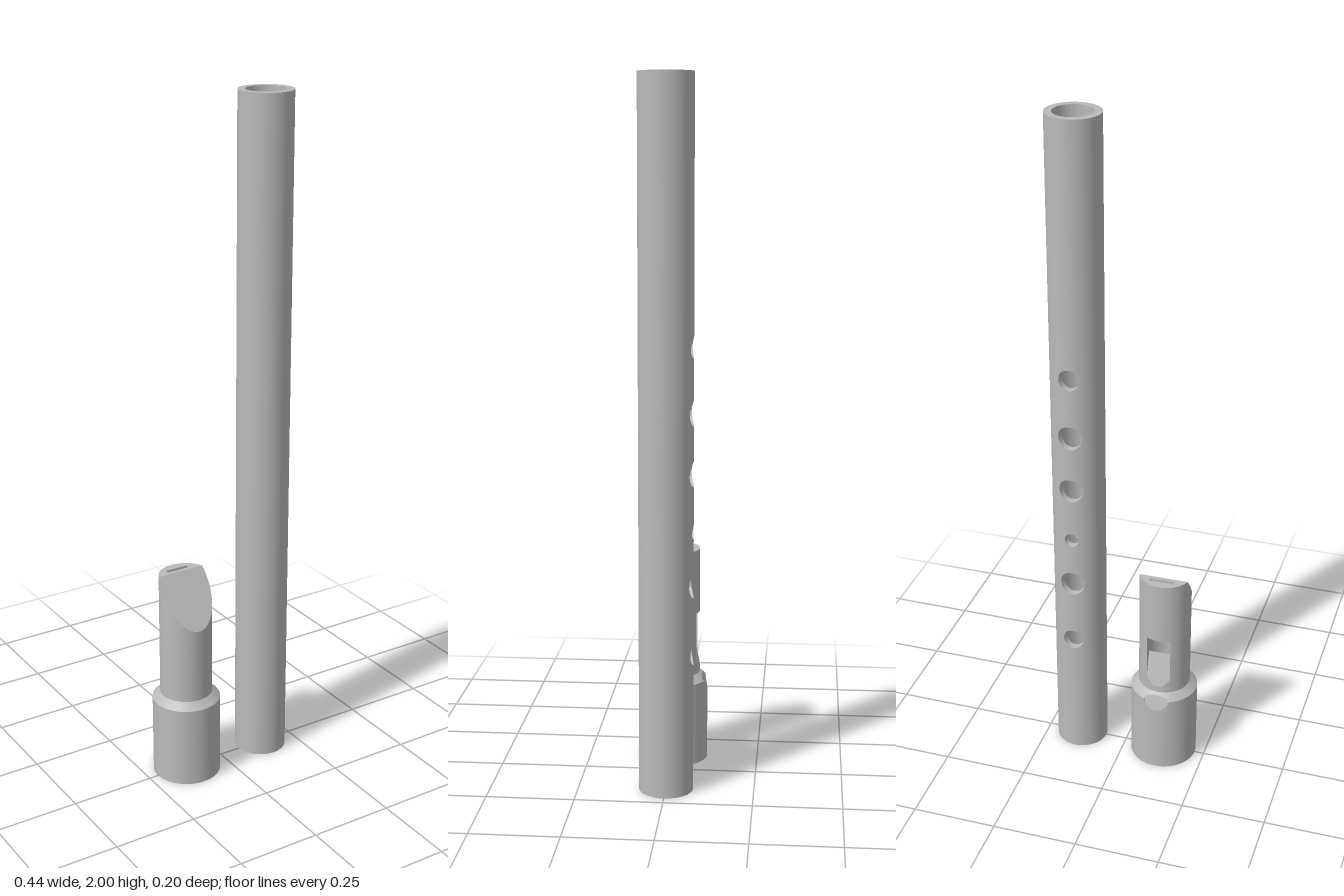
import * as THREE from 'three';
import { ParametricGeometry } from 'three/addons/geometries/ParametricGeometry.js';

const grey = new THREE.MeshStandardMaterial({ color: 0xbababa, side: THREE.DoubleSide });
grey.name = 'grey';

function add(group, name, geometry) {
  const mesh = new THREE.Mesh(geometry, grey);
  mesh.name = name;
  group.add(mesh);
  return mesh;
}

const surface = (fn, nu, nv) => new ParametricGeometry((u, v, p) => p.set(...fn(u, v)), nu, nv);
const backZ = (r, x) => -Math.sqrt(r * r - x * x);

// Round wall, open at the back for |x| < w; top(z) may trim the upper edge
function roundWall(group, name, y0, y1, r0, r1, w, outward, top = () => y1) {
  add(group, name, surface((u, v) => {
    const r = r0 + (r1 - r0) * v;
    const a = Math.asin(w / r);
    const t = a + (outward ? 1 - u : u) * (2 * Math.PI - 2 * a);
    const z = -r * Math.cos(t);
    return [r * Math.sin(t), y0 + (top(z) - y0) * v, z];
  }, 96, 1));
}

// Strip of back wall, |x| < w, with depth z = depth(x, y)
function backStrip(group, name, y0, y1, w, outward, depth, rows = 1) {
  add(group, name, surface((u, v) => {
    const x = (outward ? 1 - 2 * u : 2 * u - 1) * w;
    const y = y0 + (y1 - y0) * v;
    return [x, y, depth(x, y)];
  }, 16, rows));
}

// Flat ring: facing up or down
function ring(group, name, y, inner, outer, up) {
  const g = new THREE.RingGeometry(inner, outer, 96);
  g.rotateX(up ? -Math.PI / 2 : Math.PI / 2);
  add(group, name, g).position.y = y;
}

function rectHole(x, y0, y1) {
  return new THREE.Path([[-x, y0], [-x, y1], [x, y1], [x, y0]].map(p => new THREE.Vector2(...p)));
}

function createPipe() {
  const pipe = new THREE.Group();
  pipe.name = 'pipe';
  const R = 0.077, r = 0.056, w = 0.045, height = 2;
  const holes = [[0.4, 0.031], [0.6, 0.037], [0.75, 0.021], [0.915, 0.036], [1.085, 0.036], [1.265, 0.031]];
  const limits = holes.map(([y], i) => i ? (y + holes[i - 1][0]) / 2 : 0.32);
  limits.push(1.35);

  for (const [radius, outward, side] of [[R, true, 'outer'], [r, false, 'inner']]) {
    roundWall(pipe, side + 'PipeWall', 0, height, radius, radius, w, outward);
    for (const [y0, y1] of [[0, limits[0]], [limits[6], height]])
      backStrip(pipe, side + 'PipeBack', y0, y1, w, outward, x => backZ(radius, x));
    // Wall patches that run from each finger hole out to a rectangle
    holes.forEach(([yc, hr], i) => add(pipe, side + 'HoleSurround', surface((u, v) => {
      const t = (outward ? u : 1 - u) * Math.PI * 2;
      const c = Math.cos(t), s = Math.sin(t), m = Math.max(Math.abs(c), Math.abs(s));
      const h = s > 0 ? limits[i + 1] - yc : yc - limits[i];
      const x = hr * c * (1 - v) + w * c / m * v;
      return [x, yc + hr * s * (1 - v) + h * s / m * v, backZ(radius, x)];
    }, 48, 8)));
  }
  // Bores of the finger holes
  for (const [yc, hr] of holes) add(pipe, 'fingerHole', surface((u, v) => {
    const t = -u * Math.PI * 2, x = hr * Math.cos(t);
    return [x, yc + hr * Math.sin(t), backZ(R, x) * (1 - v) + backZ(r, x) * v];
  }, 48, 1));
  ring(pipe, 'pipeTop', height, r, R, true);
  ring(pipe, 'pipeBottom', 0, r, R, false);
  return pipe;
}

function createMouthpiece() {
  const piece = new THREE.Group();
  piece.name = 'mouthpiece';
  const w = 0.036, R = 0.077, bore = 0.056, socketR = 0.1, socketBore = 0.078;
  const shoulder = 0.245, neck = 0.265, ledge = 0.2, lip = 0.385, windowTop = 0.45, tip = 0.64;
  const flatZ = backZ(bore, w), cutZ = -0.025, beakBottom = 0.49;
  const radiusAt = y => y < shoulder ? socketR
    : y < neck ? socketR + (y - shoulder) / (neck - shoulder) * (R - socketR) : R;
  const rampZ = y => -0.1 + (y - 0.21) * 0.055 / (lip - 0.21);
  const beakY = z => z < cutZ ? tip : tip - (z - cutZ) * (tip - beakBottom) / (R - cutZ);
  const cutBack = (x, y) => Math.max(backZ(radiusAt(y), x), rampZ(y));

  // Outside: socket, shoulder and stem, with the ramp cut into the back
  roundWall(piece, 'socket', 0, shoulder, socketR, socketR, w, true);
  roundWall(piece, 'shoulder', shoulder, neck, socketR, R, w, true);
  roundWall(piece, 'stem', neck, tip, R, R, w, true, beakY);
  backStrip(piece, 'socketBack', 0, shoulder - 1e-4, w, true, cutBack, 60);
  backStrip(piece, 'shoulderBack', shoulder - 1e-4, neck, w, true, cutBack, 10);
  backStrip(piece, 'ramp', neck, lip, w, true, cutBack, 60);
  backStrip(piece, 'stemBack', windowTop, tip, w, true, x => backZ(R, x));

  // Side walls of the ramp and window
  for (const s of [-1, 1]) {
    const side = (name, y0, y1, innerZ) => add(piece, name, surface((u, v) => {
      const y = y0 + (y1 - y0) * v, outer = backZ(radiusAt(y), w);
      const q = s > 0 ? u : 1 - u;
      return [s * w, y, outer + (Math.max(innerZ(y), outer) - outer) * q];
    }, 1, 80));
    side('rampSide', 0.2, lip, rampZ);
    side('windowSide', lip, windowTop, () => flatZ);
  }
  backStrip(piece, 'lipInside', ledge, lip, w, false, () => flatZ);
  add(piece, 'lipEdge', surface((u, v) =>
    [(2 * u - 1) * w, lip, flatZ + (rampZ(lip) - flatZ) * v], 1, 1));

  // Inside: socket bore, ledge and main bore
  ring(piece, 'socketRim', 0, socketBore, socketR, false);
  roundWall(piece, 'socketBore', 0, ledge, socketBore, socketBore, 0, false);
  ring(piece, 'ledge', ledge, bore, socketBore, false);
  roundWall(piece, 'mainBore', ledge, windowTop, bore, bore, w, false);

  // Block underside, pierced by the windway
  const z0 = 0.037, z1 = 0.05;
  const block = new THREE.Shape().absarc(0, 0, R - 0.0005, 0, Math.PI * 2);
  block.holes.push(rectHole(w, -z1, -z0));
  add(piece, 'blockUnderside', new THREE.ShapeGeometry(block, 48).rotateX(Math.PI / 2)).position.y = windowTop;

  // Tip with the windway slot
  const a = Math.asin(-cutZ / R);
  const tipShape = new THREE.Shape().absarc(0, 0, R, a, Math.PI - a);
  tipShape.holes.push(rectHole(w, z0, z1));
  add(piece, 'tip', new THREE.ShapeGeometry(tipShape, 48).rotateX(-Math.PI / 2)).position.y = tip;

  // Windway walls
  const corners = [[-w, -z1], [-w, -z0], [w, -z0], [w, -z1]];
  corners.forEach(([xa, za], i) => {
    const [xb, zb] = corners[(i + 1) % 4];
    add(piece, 'windwayWall', surface((u, v) =>
      [xa + (xb - xa) * u, tip + (windowTop - tip) * v, za + (zb - za) * u], 1, 1));
  });

  // Slanted beak face
  const t0 = Math.acos(cutZ / R);
  add(piece, 'beakFace', surface((u, v) => {
    const t = t0 * v, z = R * Math.cos(t);
    return [(1 - 2 * u) * R * Math.sin(t + 1e-6), beakY(z), z];
  }, 1, 48));
  return piece;
}

export function createModel() {
  const model = new THREE.Group();
  model.name = 'whistle';
  const pipe = createPipe();
  pipe.position.x = 0.143;
  const mouthpiece = createMouthpiece();
  mouthpiece.position.x = -0.121;
  model.add(pipe, mouthpiece);
  return model;
}
